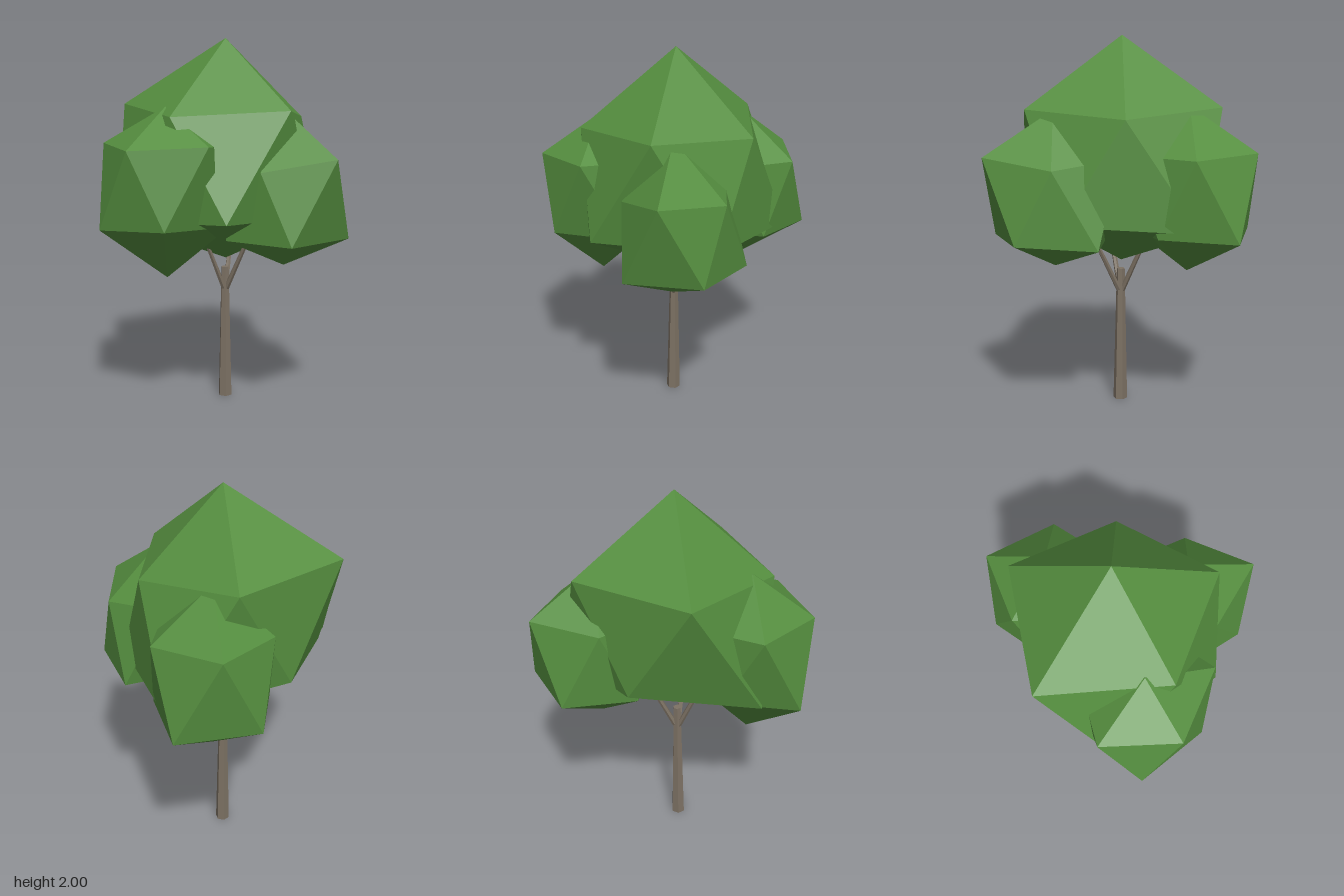
import * as THREE from 'three';

const leafGreen = new THREE.MeshStandardMaterial({ color: 0x558e3f, flatShading: true });
leafGreen.name = 'leafGreen';
const barkBrown = new THREE.MeshStandardMaterial({ color: 0x7d7264, flatShading: true });
barkBrown.name = 'barkBrown';

const TRUNK_X = -0.09, TRUNK_Z = -0.035;

// Irregular 20-sided leaf clump: a tip, two staggered five-point rings and a base point
function leafClump(name, tip, upper, lower, base) {
  const pos = [];
  const face = (...corners) => corners.forEach((c) => pos.push(...c));
  for (let i = 0; i < 5; i++) {
    const j = (i + 1) % 5;
    face(tip, upper[j], upper[i]);
    face(upper[i], upper[j], lower[i]);
    face(upper[j], lower[j], lower[i]);
    face(base, lower[i], lower[j]);
  }
  const geo = new THREE.BufferGeometry();
  geo.setAttribute('position', new THREE.Float32BufferAttribute(pos, 3));
  geo.computeVertexNormals();
  const mesh = new THREE.Mesh(geo, leafGreen);
  mesh.name = name;
  return mesh;
}

// Tapered six-sided limb between two points
function limb(name, from, to, r0, r1) {
  const a = new THREE.Vector3(...from), b = new THREE.Vector3(...to);
  const dir = b.clone().sub(a);
  const mesh = new THREE.Mesh(new THREE.CylinderGeometry(r1, r0, dir.length(), 6), barkBrown);
  mesh.position.copy(a).add(b).multiplyScalar(0.5);
  mesh.quaternion.setFromUnitVectors(new THREE.Vector3(0, 1, 0), dir.normalize());
  mesh.name = name;
  return mesh;
}

export function createModel() {
  const tree = new THREE.Group();
  tree.name = 'tree';

  // Trunk and three branches, each reaching towards one side clump
  tree.add(limb('trunk', [TRUNK_X, 0, TRUNK_Z], [TRUNK_X, 0.75, TRUNK_Z], 0.039, 0.022));
  const branches = [['frontBranch', 0.01, 0.17], ['leftBranch', 0.19, -0.04], ['backBranch', -0.11, -0.14]];
  for (const [name, dx, dz] of branches) {
    tree.add(limb(name, [TRUNK_X, 0.61, TRUNK_Z], [TRUNK_X + dx, 0.98, TRUNK_Z + dz], 0.016, 0.01));
  }

  // Large central crown
  tree.add(leafClump('mainCrown', [-0.09, 2, -0.04],
    [[0.44, 1.62, -0.04], [0.07, 1.59, 0.43], [-0.57, 1.65, 0.31], [-0.52, 1.63, -0.36], [0.05, 1.58, -0.47]],
    [[0.36, 1.07, 0.3], [-0.27, 1.04, 0.54], [-0.57, 1.1, -0.04], [-0.29, 1.03, -0.62], [0.34, 1.06, -0.36]],
    [-0.09, 0.8, -0.04]));

  // Smaller clumps around it
  tree.add(leafClump('frontClump', [-0.06, 1.64, 0.37],
    [[0.3, 1.45, 0.36], [0.04, 1.43, 0.665], [-0.35, 1.45, 0.57], [-0.34, 1.43, 0.17], [0.05, 1.43, 0.04]],
    [[0.2, 1.04, 0.555], [-0.17, 1.02, 0.705], [-0.35, 1.06, 0.36], [-0.17, 1.03, 0.05], [0.2, 1.03, 0.16]],
    [-0.06, 0.75, 0.37]));
  tree.add(leafClump('leftClump', [0.31, 1.62, -0.12],
    [[0.68, 1.39, -0.13], [0.4, 1.32, 0.12], [0.05, 1.38, 0.07], [0.03, 1.38, -0.33], [0.4, 1.34, -0.4]],
    [[0.58, 0.965, 0.07], [0.2, 0.96, 0.18], [0, 0.98, -0.12], [0.19, 0.95, -0.48], [0.57, 0.97, -0.33]],
    [0.305, 0.815, -0.12]));
  tree.add(leafClump('backClump', [-0.34, 1.64, -0.35],
    [[0, 1.4, -0.35], [-0.24, 1.4, -0.05], [-0.58, 1.4, -0.18], [-0.62, 1.41, -0.56], [-0.24, 1.39, -0.65]],
    [[-0.1, 1, -0.17], [-0.45, 1, -0.06], [-0.685, 1, -0.36], [-0.45, 0.985, -0.71], [-0.1, 1, -0.53]],
    [-0.34, 0.79, -0.35]));
  return tree;
}
